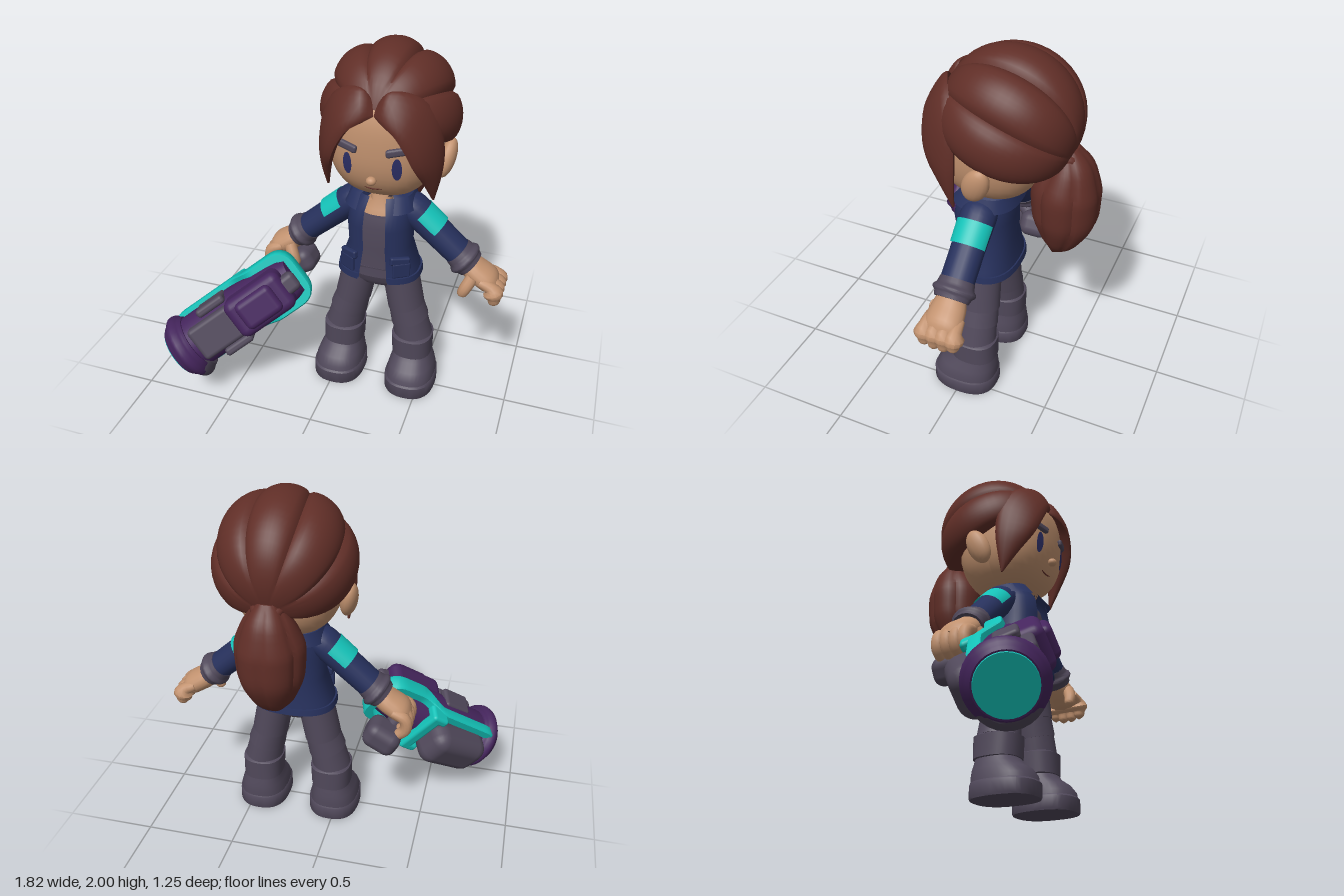
import * as THREE from 'three';
import { toCreasedNormals } from 'three/addons/utils/BufferGeometryUtils.js';
import { RoundedBoxGeometry } from 'three/addons/geometries/RoundedBoxGeometry.js';

const V = (x, y, z) => new THREE.Vector3(x, y, z);
const paint = (name, color, side = THREE.FrontSide) => {
  const m = new THREE.MeshStandardMaterial({ color, side });
  m.name = name;
  return m;
};

// Skin a list of rings; closed lofts are capped and always turned outward
function loft(rings, closed = true, crease = 0.7) {
  const n = rings[0].length, pos = [], idx = [];
  rings.forEach(r => r.forEach(p => pos.push(p.x, p.y, p.z)));
  for (let i = 0; i < rings.length - 1; i++) {
    for (let j = 0; j < (closed ? n : n - 1); j++) {
      const a = i * n + j, b = i * n + (j + 1) % n;
      idx.push(a, b, b + n, a, b + n, a + n);
    }
  }
  if (closed) {
    [0, rings.length - 1].forEach((k, end) => {
      const c = rings[k].reduce((s, p) => s.add(p), V(0, 0, 0)).divideScalar(n);
      const ci = pos.length / 3;
      pos.push(c.x, c.y, c.z);
      for (let j = 0; j < n; j++) {
        const a = k * n + j, b = k * n + (j + 1) % n;
        end ? idx.push(a, b, ci) : idx.push(b, a, ci);
      }
    });
    let volume = 0;
    const at = i => V(pos[i * 3], pos[i * 3 + 1], pos[i * 3 + 2]);
    for (let i = 0; i < idx.length; i += 3) volume += at(idx[i]).dot(at(idx[i + 1]).cross(at(idx[i + 2])));
    if (volume < 0) idx.reverse();
  }
  const g = new THREE.BufferGeometry();
  g.setAttribute('position', new THREE.Float32BufferAttribute(pos, 3));
  g.setIndex(idx);
  return toCreasedNormals(g, crease);
}

// Limb along stations [x, y, z, radiusA, radiusB]; radiusB lies along ref
function limb(st, { ref = V(0, 0, 1), steps = 14, sides = 20, lobe = () => 1 } = {}) {
  const path = new THREE.CatmullRomCurve3(st.map(s => V(s[0], s[1], s[2])));
  const size = new THREE.CatmullRomCurve3(st.map(s => V(s[3], s[4] ?? s[3], 0)));
  const rings = [];
  for (let i = 0; i <= steps; i++) {
    const p = path.getPoint(i / steps), r = size.getPoint(i / steps), t = path.getTangent(i / steps);
    const b = ref.clone().addScaledVector(t, -ref.dot(t)).normalize(), n = t.clone().cross(b);
    rings.push(Array.from({ length: sides }, (_, j) => {
      const a = j / sides * Math.PI * 2, k = lobe(a);
      return p.clone().addScaledVector(n, r.x * k * Math.cos(a)).addScaledVector(b, r.y * k * Math.sin(a));
    }));
  }
  return loft(rings);
}

// Level superellipse ring; gap leaves an opening at the front
function level(y, rx, zf, zb, cx = 0, gap = 0, n = 36) {
  const pw = v => Math.sign(v) * Math.abs(v) ** 0.8;
  return Array.from({ length: gap ? n + 1 : n }, (_, j) => {
    const t = gap + j / n * (Math.PI * 2 - 2 * gap);
    return V(cx + rx * pw(Math.sin(t)), y, (zf + zb) / 2 + (zf - zb) / 2 * pw(Math.cos(t)));
  });
}

function mirrored(g) {
  const m = (g.index ? g.toNonIndexed() : g.clone()).scale(-1, 1, 1);
  for (const a of Object.values(m.attributes)) {
    const k = a.itemSize, d = a.array;
    for (let i = 0; i < a.count; i += 3) for (let c = 0; c < k; c++) {
      const u = (i + 1) * k + c, w = (i + 2) * k + c;
      [d[u], d[w]] = [d[w], d[u]];
    }
  }
  return m;
}

export function createModel() {
  const root = new THREE.Group(), body = new THREE.Group(), tool = new THREE.Group();
  body.name = 'body'; tool.name = 'blaster';
  body.position.x = 0.23;
  root.add(body, tool);
  const hair = paint('hair brown', 0x602e27), skin = paint('skin', 0xc2926f), grey = paint('plum grey', 0x50485a);
  const blue = paint('jacket blue', 0x26305c, THREE.DoubleSide), purple = paint('purple', 0x45255d);
  const cyan = paint('cyan', 0x14c2b8, THREE.DoubleSide), eyeBlue = paint('eye blue', 0x2d3068);
  const add = (name, geo, mat, parent = body) => {
    const m = new THREE.Mesh(geo, mat);
    m.name = name;
    parent.add(m);
    return m;
  };
  const pair = (name, geo, mat) => { add('left' + name, geo, mat); add('right' + name, mirrored(geo), mat); };

  // Head: a squarish ellipsoid
  const H = { y: 1.55, z: -0.095, rx: 0.29, ry: 0.335, rz: 0.28 }, e = 2.5;
  const faceZ = (x, y) => H.z + H.rz * Math.max(0, 1 - Math.abs(x / H.rx) ** e - Math.abs((y - H.y) / H.ry) ** e) ** (1 / e);
  const head = new THREE.SphereGeometry(1, 40, 28), hp = head.attributes.position;
  for (let i = 0; i < hp.count; i++) {
    const x = hp.getX(i), y = hp.getY(i), z = hp.getZ(i);
    const k = (Math.abs(x) ** e + Math.abs(y) ** e + Math.abs(z) ** e) ** (-1 / e);
    hp.setXYZ(i, x * k * H.rx, H.y + y * k * H.ry, H.z + z * k * H.rz);
  }
  head.computeVertexNormals();
  add('head', head, skin);

  // Face details laid on the head surface
  const onFace = (g, lift) => {
    const p = g.attributes.position;
    for (let i = 0; i < p.count; i++) p.setZ(i, p.getZ(i) + faceZ(p.getX(i), p.getY(i)) + lift);
    g.computeVertexNormals();
    return g;
  };
  pair('Eye', onFace(new THREE.CircleGeometry(1, 24).scale(0.024, 0.063, 1).translate(0.127, 1.46, 0), 0.006), eyeBlue);
  pair('Eyebrow', onFace(new RoundedBoxGeometry(0.115, 0.042, 0.03, 3, 0.014).rotateZ(0.17).translate(0.13, 1.557, 0), 0.008), grey);
  add('nose', new THREE.SphereGeometry(1, 14, 10).scale(0.027, 0.023, 0.026).translate(0, 1.383, 0.178), skin);
  const smile = [-0.05, -0.025, 0, 0.025, 0.05].map(x => V(x, 1.318 + x * x * 4, faceZ(x, 1.318) + 0.001));
  add('mouth', new THREE.TubeGeometry(new THREE.CatmullRomCurve3(smile), 12, 0.004, 6), hair);
  pair('Ear', new THREE.SphereGeometry(1, 18, 14).scale(0.045, 0.108, 0.066).rotateX(-0.4).rotateZ(-0.2).translate(0.315, 1.42, -0.125), skin);

  // Hair cap: five broad lobes running from the parting back to the tie
  const capRings = [], tilt = 0.36, span = 1.9;
  for (let i = 0; i <= 24; i++) {
    const th = 0.05 + i / 24 * (Math.PI - 0.1);
    capRings.push(Array.from({ length: 61 }, (_, j) => {
      const ph = -span + j / 60 * 2 * span;
      const k = 0.89 + 0.115 * Math.sqrt(Math.abs(Math.sin(j / 60 * 5 * Math.PI)));
      const s = Math.sin(th) ** 0.85 * k;
      return V(0.365 * s * Math.sin(ph), 0.387 * s * Math.cos(ph), 0.345 * Math.cos(th))
        .applyAxisAngle(V(1, 0, 0), -tilt).add(V(0, 1.61, -0.165));
    }));
  }
  add('hairCap', loft(capRings), hair);

  // Fringe locks: inner edge, outer edge
  const lock = [
    [0, 1.72, 0.16, 0.01, 1.78, 0.12], [0.05, 1.695, 0.195, 0.07, 1.84, 0.12], [0.115, 1.655, 0.215, 0.19, 1.81, 0.06],
    [0.172, 1.57, 0.21, 0.28, 1.7, 0], [0.215, 1.47, 0.18, 0.315, 1.5, -0.015], [0.25, 1.36, 0.1, 0.308, 1.36, -0.005],
    [0.28, 1.24, 0.015, 0.285, 1.24, 0.005]];
  const inner = new THREE.CatmullRomCurve3(lock.map(s => V(s[0], s[1], s[2])));
  const outer = new THREE.CatmullRomCurve3(lock.map(s => V(s[3], s[4], s[5])));
  const lockRings = Array.from({ length: 23 }, (_, i) => {
    const u = i / 22, a = inner.getPoint(u), b = outer.getPoint(u);
    const c = a.clone().add(b).multiplyScalar(0.5), h = b.sub(a).multiplyScalar(0.5);
    const n = inner.getTangent(u).cross(h).normalize().multiplyScalar(0.006 + 0.036 * Math.sin(Math.PI * u));
    return Array.from({ length: 16 }, (_, j) => {
      const t = j / 8 * Math.PI;
      return c.clone().addScaledVector(h, Math.cos(t)).addScaledVector(n, Math.sin(t));
    });
  });
  pair('FringeLock', loft(lockRings), hair);

  // Ponytail and its tie
  add('ponytail', limb([[0, 1.53, -0.46, 0.055, 0.06], [0, 1.43, -0.475, 0.125, 0.13], [0, 1.29, -0.465, 0.172, 0.178], [0, 1.15, -0.465, 0.165, 0.17],
    [0, 1.0, -0.445, 0.1, 0.11], [0, 0.885, -0.41, 0.008]],
  { ref: V(1, 0, 0), steps: 24, sides: 48, lobe: a => 0.92 + 0.09 * Math.sqrt(Math.abs(Math.sin(a * 3))) }), hair);
  add('hairTie', new THREE.TorusGeometry(0.06, 0.027, 10, 24).rotateX(1.25).translate(0, 1.505, -0.465), hair);

  // Neck, shirt and trousers top
  add('neck', loft([level(1.05, 0.13, 0.06, -0.16), level(1.14, 0.1, 0.04, -0.14), level(1.18, 0.06, 0.015, -0.12), level(1.3, 0.06, 0.01, -0.12)]), skin);
  add('shirt', loft([level(0.74, 0.17, 0.08, -0.18), level(0.92, 0.15, 0.075, -0.17), level(1.05, 0.15, 0.085, -0.17), level(1.11, 0.13, 0.07, -0.16)]), grey);
  add('hips', loft([level(0.66, 0.13, 0.03, -0.14), level(0.7, 0.19, 0.06, -0.17), level(0.8, 0.18, 0.08, -0.18)]), grey);

  // Open jacket, hem band, collar, pockets
  const coat = [[0.74, 0.225, 0.115, -0.225], [0.79, 0.214, 0.112, -0.218], [0.92, 0.172, 0.1, -0.2], [1.05, 0.178, 0.115, -0.2],
    [1.15, 0.165, 0.1, -0.2], [1.22, 0.125, 0.05, -0.19]];
  add('jacket', loft(coat.map(c => level(...c, 0, 0.27)), false, 1), blue);
  add('jacketHem', loft([level(0.735, 0.222, 0.11, -0.22, 0, 0.29), level(0.735, 0.234, 0.124, -0.234, 0, 0.29),
    level(0.77, 0.228, 0.122, -0.228, 0, 0.29), level(0.77, 0.212, 0.108, -0.214, 0, 0.29)], false, 0.5), blue);
  add('collar', loft([level(1.22, 0.095, 0.03, -0.17, 0, 0.45), level(1.25, 0.13, 0.045, -0.19, 0, 0.45), level(1.23, 0.165, 0.065, -0.215, 0, 0.5),
    level(1.16, 0.195, 0.12, -0.235, 0, 0.45)], false, 0.5), blue);
  pair('PocketFlap', new RoundedBoxGeometry(0.11, 0.045, 0.03, 2, 0.01).rotateZ(-0.1).rotateY(0.55).translate(0.14, 0.875, 0.08), blue);
  pair('Pocket', new RoundedBoxGeometry(0.1, 0.09, 0.02, 2, 0.009).rotateY(0.55).translate(0.15, 0.82, 0.082), blue);

  // Arms
  const az = -0.07, armTurn = -2.285;
  pair('Sleeve', limb([[0.1, 1.17, az, 0.06, 0.08], [0.17, 1.125, az, 0.084, 0.095], [0.3, 1.01, az, 0.078, 0.088], [0.455, 0.875, az, 0.074, 0.088]]), blue);
  pair('ArmPatch', new THREE.CylinderGeometry(0.088, 0.09, 0.125, 20, 1, true, Math.PI * 1.5 - 1.35, 2.7).scale(1, 1, 1.1)
    .rotateZ(armTurn).translate(0.245, 1.058, az), cyan);
  pair('Cuff', limb([[0.418, 0.908, az, 0.078, 0.09], [0.445, 0.884, az, 0.083, 0.097], [0.475, 0.857, az, 0.083, 0.097], [0.495, 0.84, az, 0.076, 0.09]]), grey);
  pair('Palm', limb([[0.45, 0.875, az, 0.055, 0.06], [0.52, 0.815, az, 0.064, 0.09], [0.59, 0.77, az, 0.062, 0.1], [0.635, 0.73, az, 0.035, 0.085]]), skin);
  for (let i = 0; i < 4; i++) {
    const z = az + 0.078 - i * 0.052, drop = [0.01, 0, 0, 0.015][i];
    add('leftFinger', limb([[0.56, 0.785, z, 0.025], [0.625, 0.755, z, 0.036], [0.645, 0.7, z, 0.036], [0.643, 0.66 + drop, z, 0.028], [0.642, 0.642 + drop, z, 0.005]], { sides: 12 }), skin);
    add('rightFinger', limb([[-0.56, 0.785, z, 0.025], [-0.63, 0.75, z, 0.034], [-0.635, 0.685, z, 0.033], [-0.585, 0.645, z, 0.028], [-0.55, 0.655, z, 0.006]], { sides: 12 }), skin);
  }
  pair('Thumb', limb([[0.52, 0.8, 0.0, 0.035], [0.49, 0.74, 0.025, 0.033], [0.475, 0.7, 0.025, 0.027], [0.472, 0.685, 0.025, 0.005]], { sides: 12 }), skin);

  // Legs in overlapping folds, boots
  const lz = -0.055;
  [[0.11, 0.75, 0.1, 0.155, 0.52, 0.101], [0.15, 0.54, 0.095, 0.181, 0.425, 0.106], [0.178, 0.44, 0.098, 0.205, 0.31, 0.109]].forEach(f =>
    pair('LegFold', limb([[f[0], f[1], lz, f[2], 0.112], [f[3], f[4], lz, f[5], 0.118]], { steps: 4, sides: 28 }), grey));
  pair('BootCuff', loft([level(0.335, 0.1, 0.055, -0.165, 0.203), level(0.325, 0.115, 0.075, -0.18, 0.203), level(0.21, 0.113, 0.07, -0.18, 0.206), level(0.2, 0.1, 0.05, -0.16, 0.206)]), grey);
  pair('Boot', loft([level(0.06, 0.14, 0.168, -0.183, 0.215), level(0.11, 0.135, 0.16, -0.183, 0.215), level(0.15, 0.124, 0.13, -0.18, 0.213),
    level(0.185, 0.11, 0.08, -0.172, 0.21), level(0.23, 0.1, 0.05, -0.165, 0.206)]), grey);
  pair('Sole', loft([level(0, 0.142, 0.17, -0.186, 0.215), level(0.01, 0.146, 0.175, -0.19, 0.215), level(0.075, 0.145, 0.175, -0.188, 0.215), level(0.085, 0.138, 0.166, -0.182, 0.215)]), grey);

  // Blaster: local x to the muzzle, y to the lower edge, z to the front
  const a = V(-0.713, -0.547, 0.438).normalize(), n = V(0.295, 0.331, 0.895);
  n.addScaledVector(a, -n.dot(a)).normalize();
  tool.quaternion.setFromRotationMatrix(new THREE.Matrix4().makeBasis(a, n.clone().cross(a), n));
  tool.position.set(-0.49, 0.48, 0.21);
  const block = (name, mat, w, h, d, x, y, z, r = 0.025, turn = 0) =>
    add(name, new RoundedBoxGeometry(w, h, d, 3, r).rotateY(turn).translate(x, y, z), mat, tool);
  add('barrel', limb([[-0.35, 0, 0.13, 0.1, 0.07], [-0.28, 0, 0.12, 0.125, 0.11], [0, 0, 0.08, 0.147, 0.15], [0.25, 0, 0.07, 0.152, 0.15], [0.38, 0, 0.07, 0.15, 0.15]], { sides: 24 }), purple, tool);
  add('muzzleRing', limb([[0.33, 0, 0.07, 0.158], [0.35, 0, 0.07, 0.17], [0.42, 0, 0.07, 0.17], [0.45, 0, 0.07, 0.148]], { sides: 32 }), purple, tool);
  add('muzzleLens', new THREE.CylinderGeometry(0.138, 0.145, 0.02, 32).rotateZ(-Math.PI / 2).translate(0.447, 0, 0.07), cyan, tool);
  add('muzzleClamp', limb([[0.32, 0.045, 0.06, 0.125, 0.13], [0.345, 0.045, 0.06, 0.138, 0.145], [0.42, 0.045, 0.06, 0.138, 0.145], [0.44, 0.045, 0.06, 0.118, 0.125]], { sides: 28 }), grey, tool);
  block('topHousing', purple, 0.36, 0.235, 0.2, -0.13, 0, 0.195, 0.05);
  block('housingRidge', purple, 0.23, 0.17, 0.08, -0.13, 0, 0.29, 0.035);
  block('frontPlate', grey, 0.27, 0.2, 0.08, 0.17, 0, 0.205);
  block('rearBlock', grey, 0.11, 0.11, 0.1, -0.315, 0, 0.215, 0.03, -0.3);
  for (const s of [-1, 1]) block('sidePlate', grey, 0.18, 0.05, 0.13, 0.12, s * 0.135, 0.13, 0.02);
  block('rearPod', grey, 0.4, 0.25, 0.2, 0.16, 0, -0.085, 0.08, -0.13);

  // Cyan frame around the tool, stepping forward at the rear, with a bracket across its back
  const x0 = -0.37, x1 = 0.4, h = 0.145, r = 0.085;
  const rim = new THREE.Shape().moveTo(x0 + r, -h).lineTo(x1 - r, -h).quadraticCurveTo(x1, -h, x1, -h + r).lineTo(x1, h - r)
    .quadraticCurveTo(x1, h, x1 - r, h).lineTo(x0 + r, h).quadraticCurveTo(x0, h, x0, h - r).lineTo(x0, -h + r)
    .quadraticCurveTo(x0, -h, x0 + r, -h).getSpacedPoints(96);
  add('frame', loft(rim.map((p, i) => {
    const t = rim[(i + 1) % 96].clone().sub(rim[(i + 95) % 96]).normalize();
    const rear = THREE.MathUtils.smoothstep(-p.x, 0, 0.16), z = -0.01 + 0.09 * rear, d = 0.032 + 0.014 * rear;
    return [[-0.025, -d], [0.018, -d], [0.025, -d + 0.01], [0.025, d - 0.01], [0.018, d], [-0.025, d]]
      .map(([o, w]) => V(p.x + t.y * o, p.y - t.x * o, z + w));
  })), cyan, tool);
  block('bracket', cyan, 0.07, 0.31, 0.06, -0.07, 0, -0.06, 0.02);
  for (const s of [-1, 1]) block('bracketLug', cyan, 0.11, 0.055, 0.11, -0.05, s * 0.138, -0.035, 0.02);

  // Grip held in the right hand
  add('grip', limb([[-0.38, 0.67, 0.18, 0.035], [-0.35, 0.68, 0, 0.038], [-0.31, 0.64, -0.09, 0.045]], { ref: V(1, 0, 0) }), grey, root);
  add('gripEnd', new RoundedBoxGeometry(0.2, 0.15, 0.18, 4, 0.055).rotateZ(0.5).translate(-0.28, 0.62, -0.135), grey, root);
  return root;
}
